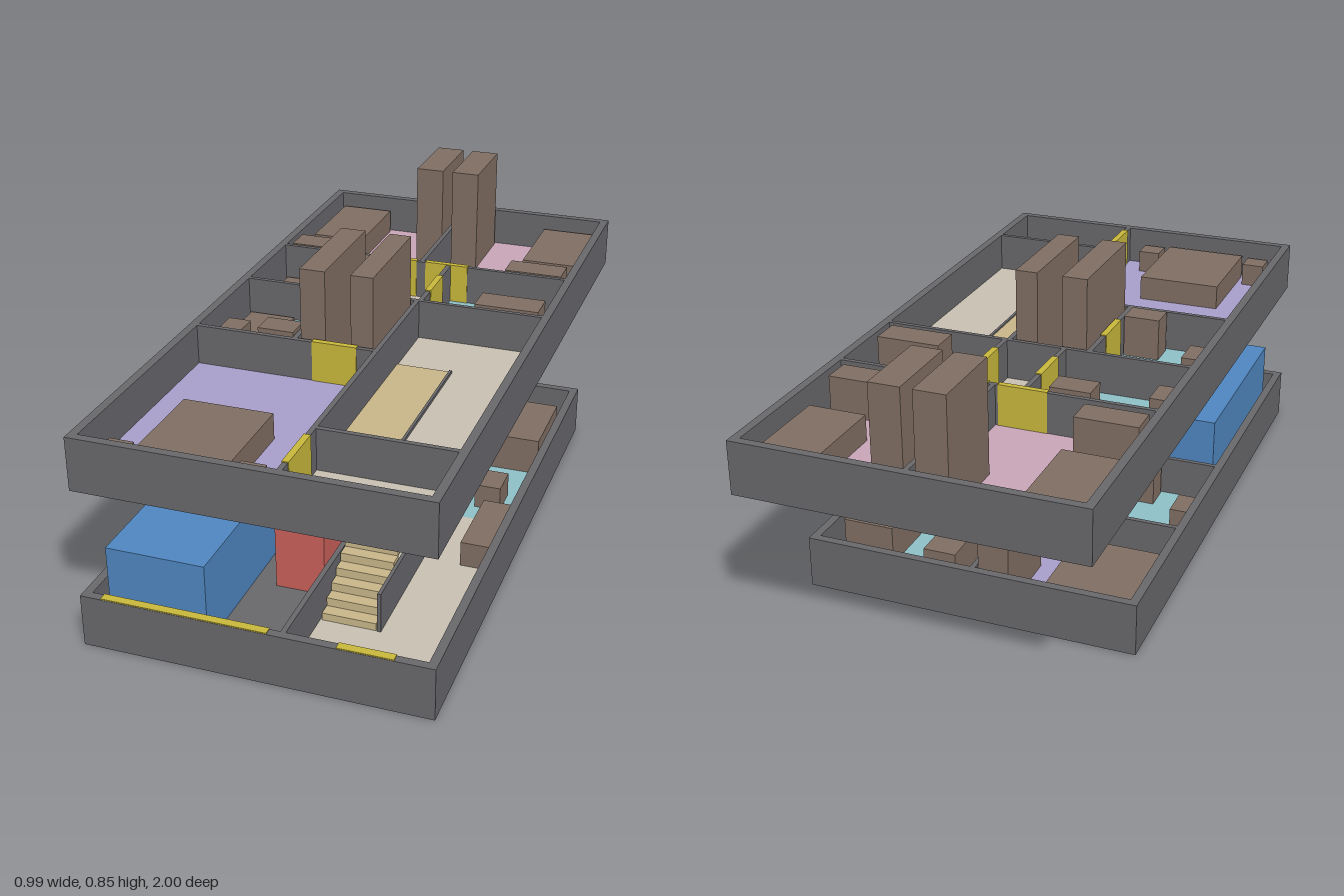
import * as THREE from 'three';

const mat = (name, color) => Object.assign(new THREE.MeshStandardMaterial({ color }), { name });

export function createModel() {
  const wallMat = mat('wall grey', 0x68686c), brown = mat('furniture brown', 0x806e62);
  const yellow = mat('door yellow', 0xc9b83c), tan = mat('stair tan', 0xc9b78a);
  const blue = mat('car blue', 0x4f86c0), red = mat('motorbike red', 0xc9605a);
  const teal = mat('wet room teal', 0x8fc0c8), pink = mat('bedroom pink', 0xc9a6b8);
  const purple = mat('main room purple', 0xa99fcb), beige = mat('hall beige', 0xc8c0b2);

  const SLAB = 0.032, TOP = 0.156; // slab thickness and wall height, from each storey's base

  // Box from x, y and z limits
  function box(parent, name, m, x0, x1, z0, z1, y0, y1) {
    const mesh = new THREE.Mesh(new THREE.BoxGeometry(x1 - x0, y1 - y0, z1 - z0), m);
    mesh.position.set((x0 + x1) / 2, (y0 + y1) / 2, (z0 + z1) / 2);
    mesh.name = name;
    parent.add(mesh);
  }

  // One storey: slab, outer walls, then lists of floors, walls, doors and furniture
  function storey(name, y, back, plan) {
    const g = new THREE.Group();
    g.name = name;
    g.position.y = y;
    const W = 0.495, T = 0.025;
    box(g, 'slab', wallMat, -W, W, back, 1, 0, SLAB);
    for (const s of [-1, 1]) {
      const x = s * (W - T / 2);
      box(g, 'sideWall', wallMat, x - T / 2, x + T / 2, back, 1, SLAB, TOP);
    }
    box(g, 'frontWall', wallMat, -W + T, W - T, 1 - T, 1, SLAB, TOP);
    box(g, 'backWall', wallMat, -W + T, W - T, back, back + T, SLAB, TOP);
    for (const [m, ...r] of plan.floors) box(g, 'roomFloor', m, ...r, SLAB, SLAB + 0.003);
    for (const r of plan.walls) box(g, 'innerWall', wallMat, ...r, SLAB, TOP);
    for (const r of plan.doors) box(g, 'door', yellow, ...r, SLAB, TOP + 0.003);
    for (const [n, h, ...r] of plan.furniture) box(g, n, brown, ...r, SLAB, SLAB + h);
    return g;
  }

  const lower = storey('lowerStorey', 0, -0.64, {
    floors: [
      [beige, 0.08, 0.47, 0.09, 0.975], [beige, -0.16, 0.08, -0.19, 0.21],
      [teal, -0.47, -0.17, -0.19, 0.21], [teal, 0.0, 0.47, -0.615, -0.19],
      [teal, 0.08, 0.47, -0.19, 0.09], [purple, -0.47, -0.01, -0.615, -0.2],
    ],
    walls: [
      [-0.47, 0.08, 0.21, 0.225], [0.07, 0.085, 0.21, 0.975], [-0.175, -0.16, -0.2, 0.21],
      [-0.47, -0.0, -0.205, -0.19], [-0.015, 0, -0.615, -0.205], [0.25, 0.26, 0.09, 0.735],
    ],
    doors: [
      [-0.435, 0.04, 0.974, 0.999], [0.23, 0.385, 0.974, 0.999],
      [-0.15, -0.02, -0.207, -0.188], [-0.13, 0.0, 0.208, 0.227], [-0.177, -0.158, -0.03, 0.1],
    ],
    furniture: [
      ['wardrobe', 0.338, -0.108, -0.017, -0.6, -0.355],
      ['bed', 0.08, -0.455, -0.2, -0.6, -0.29],
      ['shower', 0.016, -0.46, -0.315, -0.17, -0.03],
      ['toilet', 0.065, -0.46, -0.39, 0.0, 0.1],
      ['basin', 0.132, -0.3, -0.18, 0.12, 0.2],
      ['kitchenCounter', 0.14, 0.053, 0.15, -0.6, -0.24],
      ['table', 0.12, 0.3, 0.455, -0.5, -0.24],
      ['seat', 0.08, 0.32, 0.4, -0.08, 0.02],
      ['sofa', 0.08, 0.37, 0.455, 0.1, 0.35],
    ],
  });
  box(lower, 'car', blue, -0.447, -0.16, 0.275, 0.93, SLAB, 0.274);
  box(lower, 'motorbike', red, -0.093, 0.053, 0.255, 0.615, SLAB, 0.247);

  // Staircase of floating block treads
  const stairs = new THREE.Group();
  stairs.name = 'staircase';
  const N = 17, rise = 0.434 / N, run = 0.635 / N;
  for (let i = 0; i < N; i++) {
    const z = 0.733 - i * run, y = SLAB + i * rise;
    box(stairs, 'step', tan, 0.09, 0.246, z - run - 0.004, z, y, y + rise);
  }
  lower.add(stairs);

  const upper = storey('upperStorey', 0.479, -1, {
    floors: [
      [pink, -0.47, -0.007, -0.975, -0.437], [pink, 0.007, 0.47, -0.975, -0.437],
      [teal, -0.47, -0.1, -0.423, -0.132], [teal, 0.1, 0.47, -0.423, -0.132],
      [beige, -0.085, 0.085, -0.423, -0.132], [teal, -0.47, -0.175, -0.118, 0.25],
      [beige, -0.16, 0.075, -0.118, 0.25], [purple, -0.47, 0.075, 0.265, 0.975],
      [beige, 0.09, 0.47, -0.118, 0.735], [beige, 0.09, 0.47, 0.75, 0.975],
    ],
    walls: [
      [-0.47, 0.47, -0.437, -0.423], [-0.007, 0.007, -0.975, -0.437], [-0.47, 0.47, -0.132, -0.118],
      [-0.1, -0.085, -0.423, -0.132], [0.085, 0.1, -0.423, -0.132], [-0.175, -0.16, -0.118, 0.25],
      [0.075, 0.09, -0.118, 0.975], [-0.47, 0.075, 0.25, 0.265], [0.09, 0.47, 0.735, 0.75],
    ],
    doors: [
      [-0.16, -0.015, -0.439, -0.421], [0.015, 0.155, -0.439, -0.421],
      [-0.102, -0.083, -0.33, -0.2], [0.083, 0.102, -0.33, -0.2],
      [-0.177, -0.158, 0, 0.135], [-0.11, 0.025, 0.248, 0.267], [0.073, 0.092, 0.79, 0.94],
    ],
    furniture: [
      ['bed', 0.08, -0.457, -0.285, -0.96, -0.655], ['bed', 0.08, 0.28, 0.452, -0.96, -0.655],
      ['wardrobe', 0.335, -0.108, -0.018, -0.96, -0.715], ['wardrobe', 0.335, 0.015, 0.103, -0.96, -0.715],
      ['desk', 0.12, -0.457, -0.275, -0.542, -0.455], ['desk', 0.12, 0.27, 0.452, -0.542, -0.455],
      ['shower', 0.016, -0.46, -0.315, -0.41, -0.265], ['shower', 0.016, -0.46, -0.315, -0.105, 0.04],
      ['toilet', 0.065, -0.46, -0.39, -0.245, -0.15], ['toilet', 0.065, -0.46, -0.39, 0.06, 0.16],
      ['basin', 0.131, -0.275, -0.155, -0.41, -0.33], ['basin', 0.131, -0.29, -0.18, 0.155, 0.235],
      ['laundryCounter', 0.124, 0.255, 0.452, -0.245, -0.15],
      ['wardrobe', 0.335, -0.153, -0.077, -0.105, 0.24], ['wardrobe', 0.335, 0, 0.067, -0.105, 0.24],
      ['mainBed', 0.08, -0.34, -0.078, 0.63, 0.955],
      ['nightstand', 0.075, -0.43, -0.36, 0.885, 0.955], ['nightstand', 0.075, -0.06, 0.01, 0.885, 0.955],
    ],
  });
  // Stair opening marker with its edge strip
  box(upper, 'stairOpening', tan, 0.09, 0.25, 0.09, 0.735, SLAB + 0.003, SLAB + 0.007);
  box(upper, 'openingEdge', wallMat, 0.25, 0.258, 0.09, 0.735, SLAB + 0.003, SLAB + 0.012);

  const model = new THREE.Group();
  model.name = 'twoStoreyHousePlan';
  model.add(lower, upper);
  return model;
}
